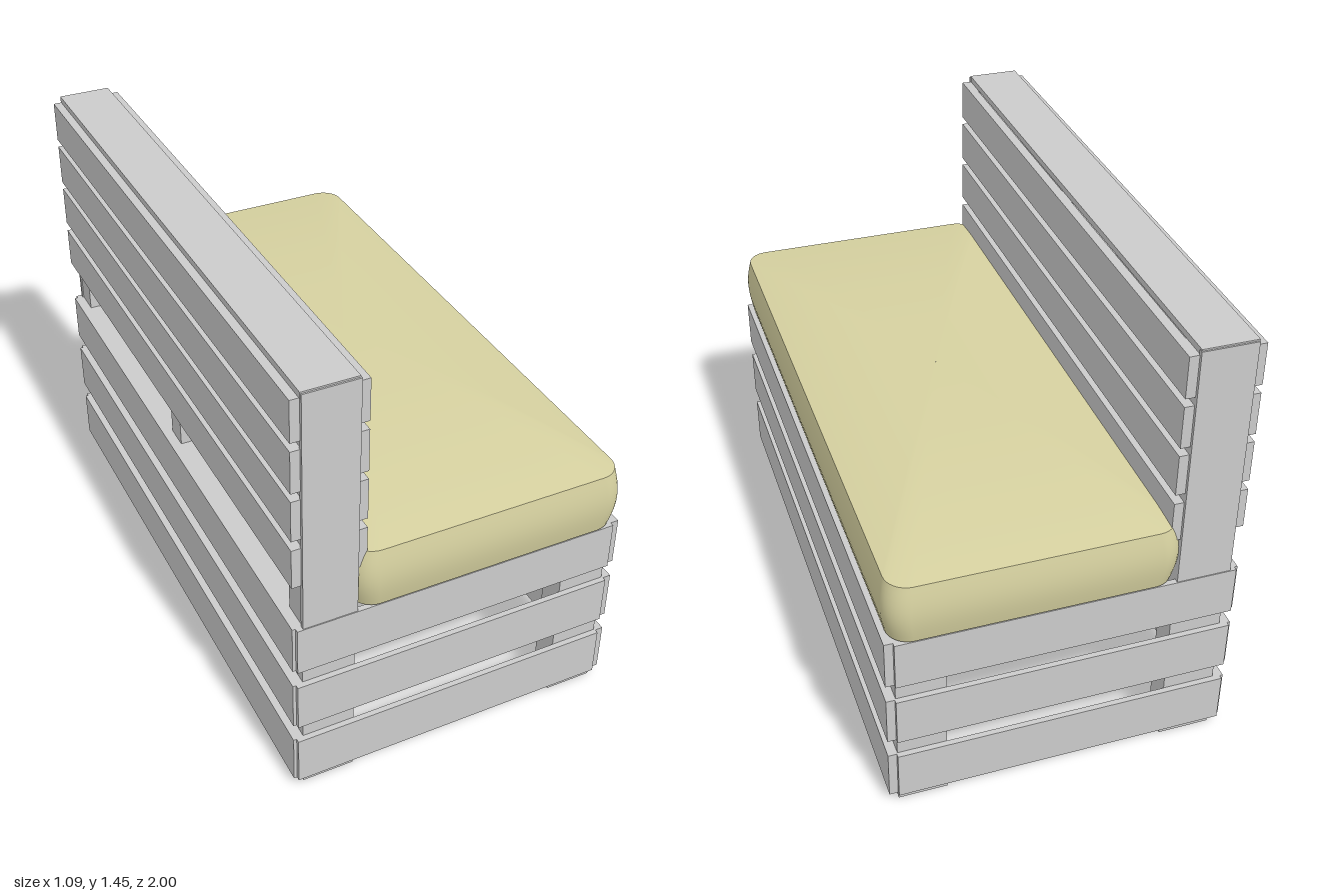
import * as THREE from 'three';

const wood = new THREE.MeshStandardMaterial({ color: 0xcccccc });
const fabric = new THREE.MeshStandardMaterial({ color: 0xd6d1a0 });

// Box given by its min/max extents on each axis
function board(name, [x0, x1], [y0, y1], [z0, z1]) {
  const mesh = new THREE.Mesh(new THREE.BoxGeometry(x1 - x0, y1 - y0, z1 - z0), wood);
  mesh.position.set((x0 + x1) / 2, (y0 + y1) / 2, (z0 + z1) / 2);
  mesh.name = name;
  return mesh;
}

// Rounded-rectangle ring in the xz plane
function ring(hx, hz, y, r, scale = 1) {
  const points = [], steps = 8, perSide = 6;
  const corners = [[1, 1], [-1, 1], [-1, -1], [1, -1]];
  const outline = [];
  corners.forEach(([sx, sz], c) => {
    for (let i = 0; i <= steps; i++) {
      const a = (c + i / steps) * Math.PI / 2;
      outline.push([sx * (hx - r) + r * Math.cos(a), sz * (hz - r) + r * Math.sin(a)]);
    }
  });
  outline.forEach((p, i) => {
    const q = outline[(i + 1) % outline.length];
    const n = i % (steps + 1) === steps ? perSide : 1;
    for (let k = 0; k < n; k++) {
      const t = k / n;
      points.push([(p[0] + (q[0] - p[0]) * t) * scale, y, (p[1] + (q[1] - p[1]) * t) * scale]);
    }
  });
  return points;
}

// Skin over a stack of rings, listed upwards and inwards
function loft(rings) {
  const n = rings[0].length, index = [];
  for (let j = 0; j < rings.length - 1; j++) {
    for (let i = 0; i < n; i++) {
      const a = j * n + i, b = j * n + (i + 1) % n;
      index.push(a, a + n, b, b, a + n, b + n);
    }
  }
  const geometry = new THREE.BufferGeometry();
  geometry.setAttribute('position', new THREE.Float32BufferAttribute(rings.flat(2), 3));
  geometry.setIndex(index);
  geometry.computeVertexNormals();
  return geometry;
}

function createCushion() {
  const cushion = new THREE.Group();
  cushion.name = 'cushion';
  const hx = 0.436, hz = 0.985, r = 0.07, low = 0.65, high = 0.85;

  // Bulging side wall
  const sides = [];
  for (let i = 0; i <= 10; i++) {
    const t = i / 10, bulge = 0.013 * Math.sin(Math.PI * t);
    sides.push(ring(hx + bulge, hz + bulge, low + (high - low) * t, r));
  }
  // Crowned top and flat underside
  const top = [], bottom = [];
  for (let i = 0; i <= 12; i++) {
    const s = Math.max(1 - i / 12, 0.001);
    top.push(ring(hx, hz, high + 0.046 * (1 - s ** 2.5), r, s));
  }
  bottom.push(ring(hx, hz, low, r, 0.001), ring(hx, hz, low, r));

  const parts = { cushionSides: sides, cushionTop: top, cushionBottom: bottom };
  for (const [name, rings] of Object.entries(parts)) {
    const mesh = new THREE.Mesh(loft(rings), fabric);
    mesh.name = name;
    cushion.add(mesh);
  }
  cushion.position.x = 0.092;
  return cushion;
}

export function createModel() {
  const bench = new THREE.Group();
  bench.name = 'slattedBench';
  const length = [-0.97, 0.97];

  // Three pairs of posts; the rear ones carry the backrest
  for (const [z0, z1] of [[-0.965, -0.88], [-0.04, 0.04], [0.88, 0.965]]) {
    bench.add(board('rearPost', [-0.512, -0.345], [0, 1.43], [z0, z1]));
    bench.add(board('frontPost', [0.36, 0.515], [0, 0.645], [z0, z1]));
  }

  // Base slats around all four sides
  for (const y of [[0.03, 0.197], [0.258, 0.422], [0.482, 0.645]]) {
    bench.add(board('frontSlat', [0.515, 0.545], y, length));
    bench.add(board('rearSlat', [-0.545, -0.512], y, length));
    for (const z of [[0.965, 0.983], [-0.983, -0.965]]) {
      bench.add(board('sideSlat', [-0.535, 0.518], y, z));
    }
  }

  // Backrest slats on both faces
  for (const y of [[0.8, 0.935], [0.967, 1.103], [1.13, 1.268], [1.295, 1.43]]) {
    bench.add(board('backrestFrontSlat', [-0.345, -0.315], y, length));
    bench.add(board('backrestRearSlat', [-0.545, -0.512], y, length));
  }

  // Backrest end boards, cap and rear shelf
  for (const z of [[0.965, 0.98], [-0.98, -0.965]]) {
    bench.add(board('backrestEndBoard', [-0.516, -0.345], [0.645, 1.445], z));
  }
  bench.add(board('backrestCap', [-0.518, -0.347], [1.43, 1.45], [-0.975, 0.975]));
  bench.add(board('rearShelf', [-0.512, -0.345], [0.62, 0.645], [-0.965, 0.965]));

  bench.add(createCushion());
  return bench;
}
